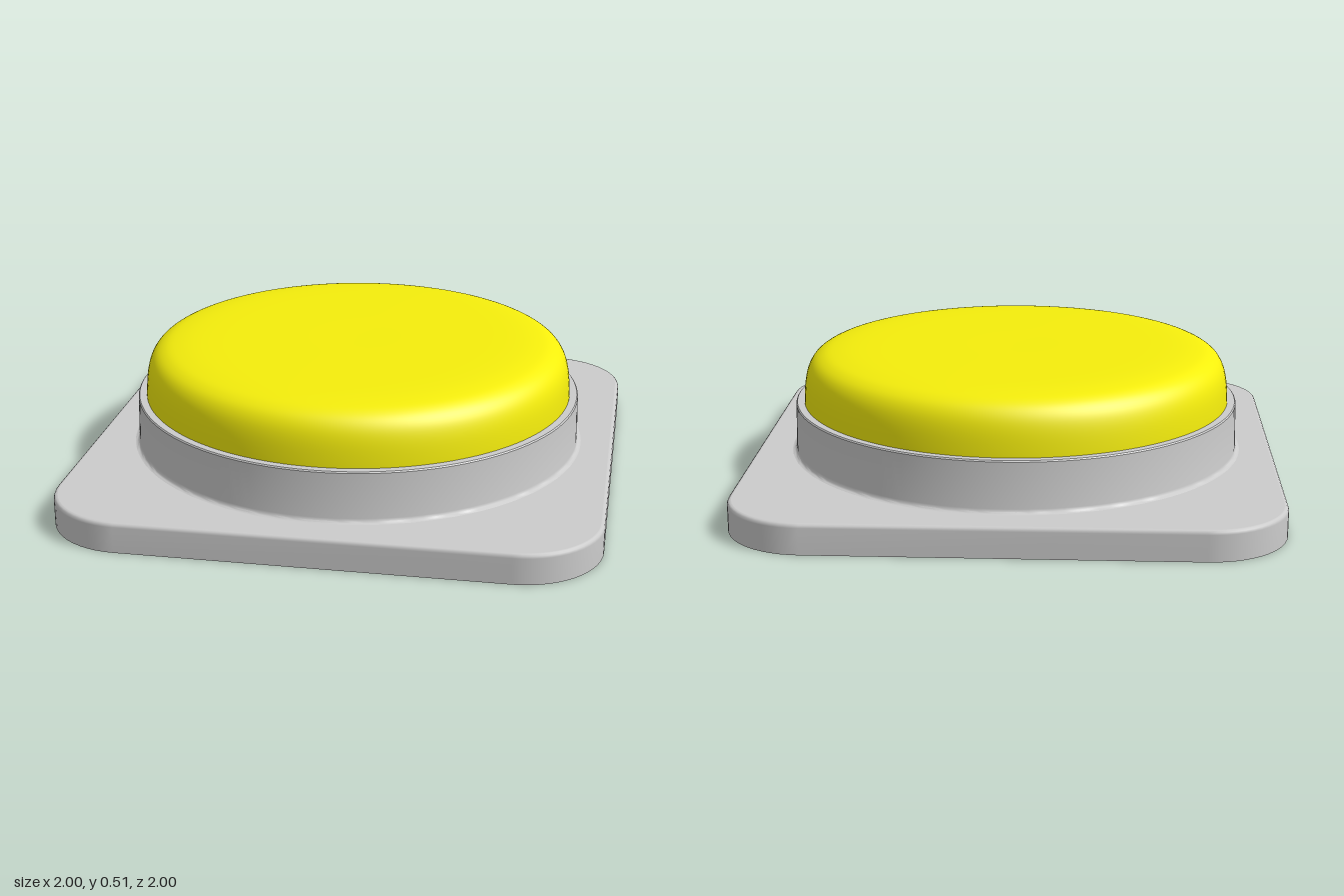
import * as THREE from 'three';
import { toCreasedNormals } from 'three/addons/utils/BufferGeometryUtils.js';

const grey = new THREE.MeshStandardMaterial({ color: 0xcccccc, side: THREE.DoubleSide });
const yellow = new THREE.MeshStandardMaterial({ color: 0xf5ee0c, side: THREE.DoubleSide });

const CORNER = 0.3;      // plate corner radius
const PLATE_TOP = 0.113;
const FILLET_R = 0.876;  // where the collar fillet meets the plate
const SEGMENTS = 128;

const vectors = (pairs) => pairs.map(([r, y]) => new THREE.Vector2(r, y));

// Rounded square outline with the given corner radius about fixed corner centres
function outline(radius) {
  const c = 1 - CORNER, points = [];
  for (const [k, sx, sy] of [[0, 1, 1], [1, -1, 1], [2, -1, -1], [3, 1, -1]]) {
    for (let i = 0; i <= 14; i++) {
      const a = (k + i / 14) * Math.PI / 2;
      points.push(new THREE.Vector2(sx * c + radius * Math.cos(a), sy * c + radius * Math.sin(a)));
    }
  }
  return points;
}

// Side wall of the plate with a small rounded upper edge, open below
function rimGeometry() {
  const sections = [[CORNER, 0], [CORNER, 0.098], [0.297, 0.107], [0.292, 0.112], [0.285, PLATE_TOP]];
  const positions = [], index = [];
  let n = 0;
  sections.forEach(([radius, y], j) => {
    const ring = outline(radius);
    n = ring.length;
    ring.forEach((p, i) => {
      positions.push(p.x, y, -p.y);
      if (j === sections.length - 1) return;
      const a = j * n + i, b = j * n + (i + 1) % n;
      index.push(a, b, b + n, a, b + n, a + n);
    });
  });
  const geometry = new THREE.BufferGeometry();
  geometry.setAttribute('position', new THREE.Float32BufferAttribute(positions, 3));
  geometry.setIndex(index);
  geometry.computeVertexNormals();
  return geometry;
}

// Flat top of the plate with the round opening
function plateTopGeometry() {
  const shape = new THREE.Shape(outline(0.285));
  shape.holes.push(new THREE.Path().absarc(0, 0, FILLET_R, 0, Math.PI * 2, true));
  return new THREE.ShapeGeometry(shape, SEGMENTS / 2).rotateX(-Math.PI / 2).translate(0, PLATE_TOP, 0);
}

export function createModel() {
  const model = new THREE.Group();
  const add = (name, geometry, material, parent = model) => {
    const mesh = new THREE.Mesh(geometry, material);
    mesh.name = name;
    parent.add(mesh);
  };

  const plate = new THREE.Group();
  plate.name = 'basePlate';
  add('plateRim', rimGeometry(), grey, plate);
  add('plateTop', plateTopGeometry(), grey, plate);
  model.add(plate);

  // Collar: fillet, outer wall, top lip, inner wall and floor, hollow from below
  const collar = new THREE.LatheGeometry(vectors([
    [FILLET_R, PLATE_TOP], [0.867, 0.115], [0.862, 0.12], [0.86, 0.13],
    [0.856, 0.3], [0.852, 0.305], [0.82, 0.305], [0.812, 0.12], [0, 0.12],
  ]), SEGMENTS);
  add('collar', toCreasedNormals(collar, 0.6), grey);

  // Cap: tapered side rolling over into an almost flat top
  const capCurve = new THREE.SplineCurve(vectors([
    [0.825, 0.2], [0.824, 0.31], [0.815, 0.4], [0.794, 0.455], [0.757, 0.487],
    [0.698, 0.503], [0.58, 0.511], [0.3, 0.513], [0, 0.513],
  ]));
  add('buttonCap', new THREE.LatheGeometry(capCurve.getPoints(40), SEGMENTS), yellow);

  return model;
}
